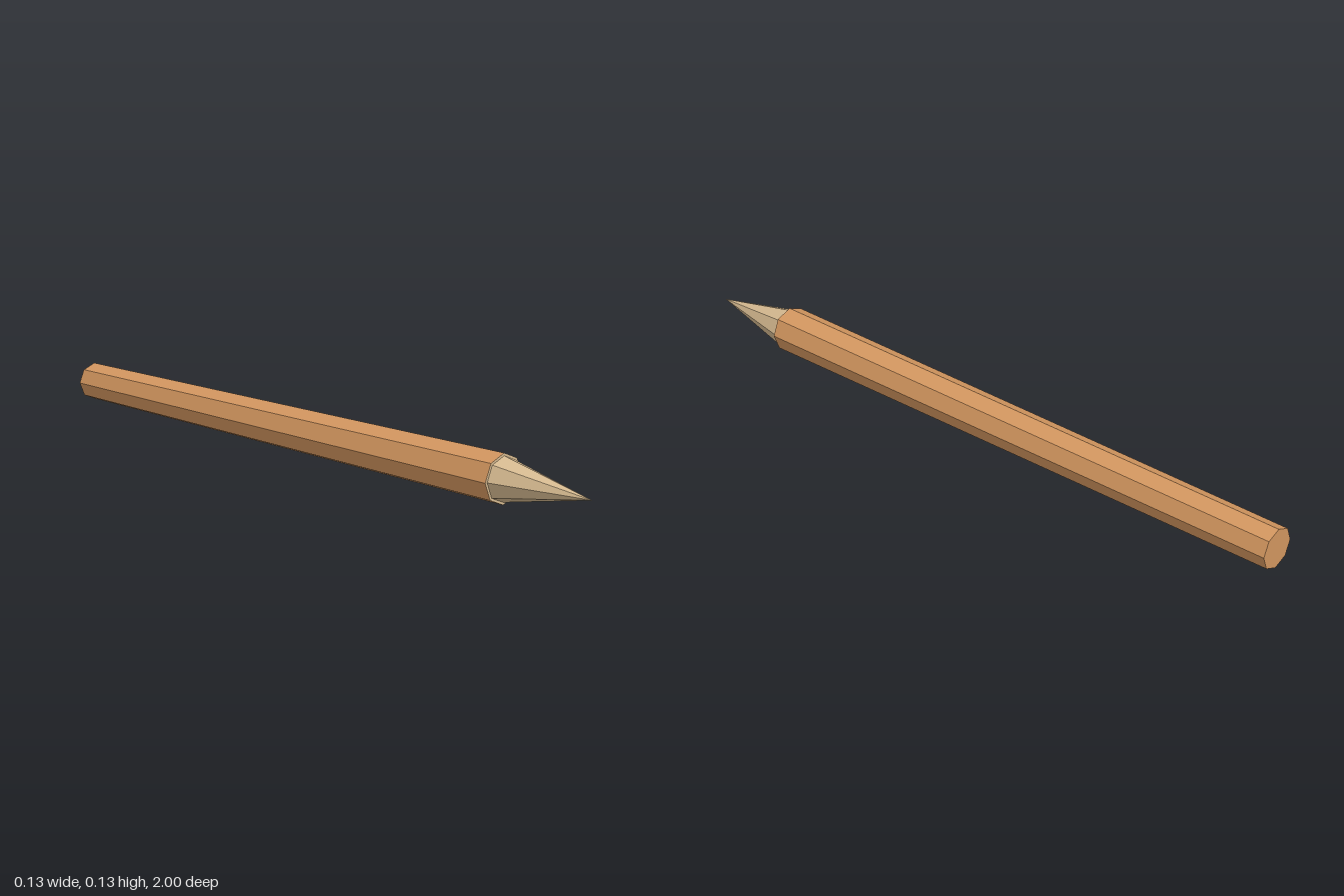
import * as THREE from 'three';

export function createModel() {
  const group = new THREE.Group();
  const wood = new THREE.MeshStandardMaterial({ name: 'brown wood', color: 0xd2965f, flatShading: true });
  const bare = new THREE.MeshStandardMaterial({ name: 'pale carved wood', color: 0xd6ba90, flatShading: true });

  const sides = 8, axisY = 0.066, frontR = 0.066, backR = 0.056, tipR = 0.059, neckZ = 0.717;

  function add(name, geometry, material, z) {
    const mesh = new THREE.Mesh(geometry, material);
    mesh.name = name;
    mesh.position.set(0, axisY, z);
    group.add(mesh);
  }

  // Tapered octagonal shaft, open at the front
  const length = neckZ + 1;
  const shaft = new THREE.CylinderGeometry(frontR, backR, length, sides, 1, true).rotateX(Math.PI / 2);
  add('shaft', shaft, wood, neckZ - length / 2);

  // Flat back end
  add('backEnd', new THREE.CircleGeometry(backR, sides).rotateY(Math.PI), wood, -1);

  // Narrow shoulder around the point
  add('shoulder', new THREE.RingGeometry(tipR, frontR, sides), bare, neckZ);

  // Sharpened point
  const tipLength = 1 - neckZ;
  const tip = new THREE.ConeGeometry(tipR, tipLength, sides, 1, true).rotateX(Math.PI / 2);
  add('point', tip, bare, neckZ + tipLength / 2);

  return group;
}
